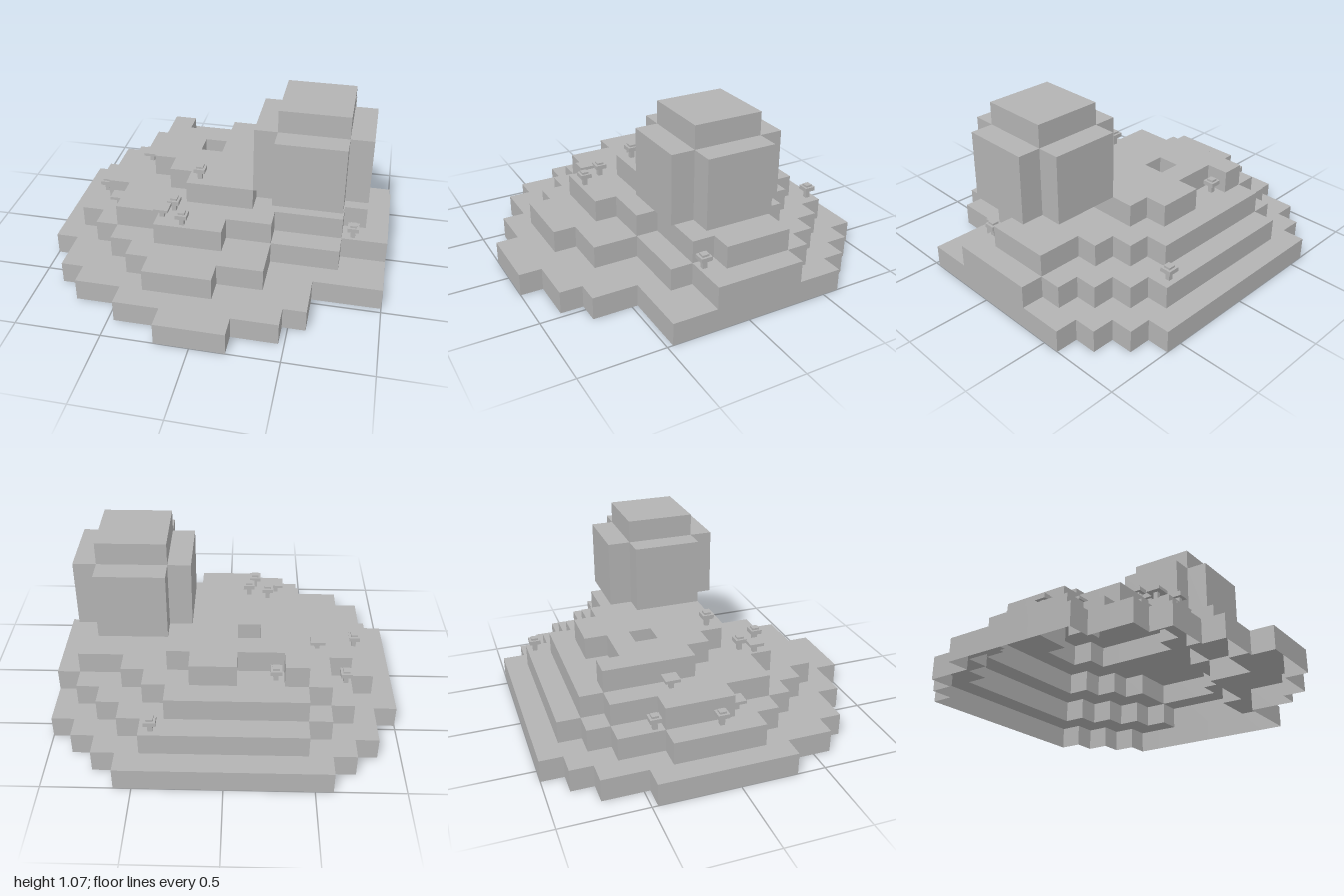
import * as THREE from 'three';

const U = 2 / 15; // one block

// terrace level of every block, back row first, right (-x) to left (+x)
const LEVELS = [
  '000111111111000',
  '001122222221100',
  '011233333322110',
  '012343344332211',
  '112344444433221',
  '123344344433332',
  '123344444433332',
  '123334444433332',
  '122333444333322',
  '112333333322211',
  '011223332211111',
  '011122222211000',
  '001112221111000',
  '000011111110000',
  '000000111000000',
];
const levelAt = (i, j) => Number(LEVELS[j]?.[i] ?? 0);

// open-bottomed shell of one terrace: its treads and the risers below them
function terraceGeometry(level) {
  const pos = [];
  const quad = (a, b, c, d) => {
    for (const p of [a, b, c, a, c, d]) pos.push(p[0] * U - 1, p[1] * U, p[2] * U - 1);
  };
  for (let j = 0; j < 15; j++) for (let i = 0; i < 15; i++) {
    const h = levelAt(i, j);
    if (h === level) quad([i, h, j], [i, h, j + 1], [i + 1, h, j + 1], [i + 1, h, j]);
    if (h < level) continue;
    const y0 = level - 1, y1 = level;
    const sides = [
      [0, 1, [i, j + 1], [i + 1, j + 1]],
      [1, 0, [i + 1, j + 1], [i + 1, j]],
      [0, -1, [i + 1, j], [i, j]],
      [-1, 0, [i, j], [i, j + 1]],
    ];
    for (const [di, dj, a, b] of sides) {
      if (levelAt(i + di, j + dj) >= level) continue;
      quad([a[0], y0, a[1]], [b[0], y0, b[1]], [b[0], y1, b[1]], [a[0], y1, a[1]]);
    }
  }
  const g = new THREE.BufferGeometry();
  g.setAttribute('position', new THREE.Float32BufferAttribute(pos, 3));
  g.computeVertexNormals();
  return g;
}

export function createModel() {
  const model = new THREE.Group();
  model.name = 'terracedIsland';
  const grey = new THREE.MeshStandardMaterial({ color: 0xb3b3b3, side: THREE.DoubleSide });
  grey.name = 'grey';

  const add = (parent, name, geometry, x = 0, y = 0, z = 0) => {
    const mesh = new THREE.Mesh(geometry, grey);
    mesh.name = name;
    mesh.position.set(x, y, z);
    parent.add(mesh);
    return mesh;
  };
  // box standing on y
  const box = (parent, name, w, h, d, x, y, z) =>
    add(parent, name, new THREE.BoxGeometry(w, h, d), x, y + h / 2, z);

  // stepped ground
  for (let level = 1; level <= 4; level++) add(model, 'terrace' + level, terraceGeometry(level));

  // tree: trunk, cross-shaped crown and a smaller block on top
  const tree = new THREE.Group();
  tree.name = 'tree';
  tree.position.set(4 * U, 3 * U, 0);
  model.add(tree);
  box(tree, 'trunk', U, U, U, 0, 0, 0);
  const a = 1.5 * U, b = 2.5 * U;
  const cross = new THREE.Shape([
    [a, -b], [a, -a], [b, -a], [b, a], [a, a], [a, b],
    [-a, b], [-a, a], [-b, a], [-b, -a], [-a, -a], [-a, -b],
  ].map(([x, y]) => new THREE.Vector2(x, y)));
  const crown = new THREE.ExtrudeGeometry(cross, { depth: 3 * U, bevelEnabled: false });
  crown.rotateX(-Math.PI / 2);
  add(tree, 'crown', crown, 0, U, 0);
  box(tree, 'crownTop', 3 * U, U, 3 * U, 0, 4 * U, 0);

  // round-capped mushrooms: x, z, terrace level
  const mushrooms = [
    [0.4, -0.82, 2], [-0.285, -0.535, 3], [-0.7, -0.385, 2], [-0.78, -0.03, 2],
    [-0.13, 0.13, 4], [-0.25, 0.295, 3], [-0.17, 0.43, 3], [0.797, 0.168, 2],
  ];
  for (const [x, z, level] of mushrooms) {
    const m = new THREE.Group();
    m.name = 'mushroom';
    m.position.set(x, level * U, z);
    model.add(m);
    box(m, 'stem', 0.027, 0.05, 0.027, 0, 0, 0);
    box(m, 'cap', 0.067, 0.025, 0.067, 0, 0.05, 0);
    box(m, 'capTop', 0.04, 0.012, 0.04, 0, 0.075, 0);
  }

  // flat-capped mushrooms
  for (const [x, z, level] of [[-0.535, -0.235, 3], [-0.66, 0.105, 2], [-0.303, 0.37, 3]]) {
    const m = new THREE.Group();
    m.name = 'flatMushroom';
    m.position.set(x, level * U, z);
    model.add(m);
    box(m, 'stem', 0.027, 0.047, 0.027, 0, 0, 0);
    box(m, 'cap', 0.087, 0.018, 0.087, 0, 0.047, 0);
  }
  return model;
}
